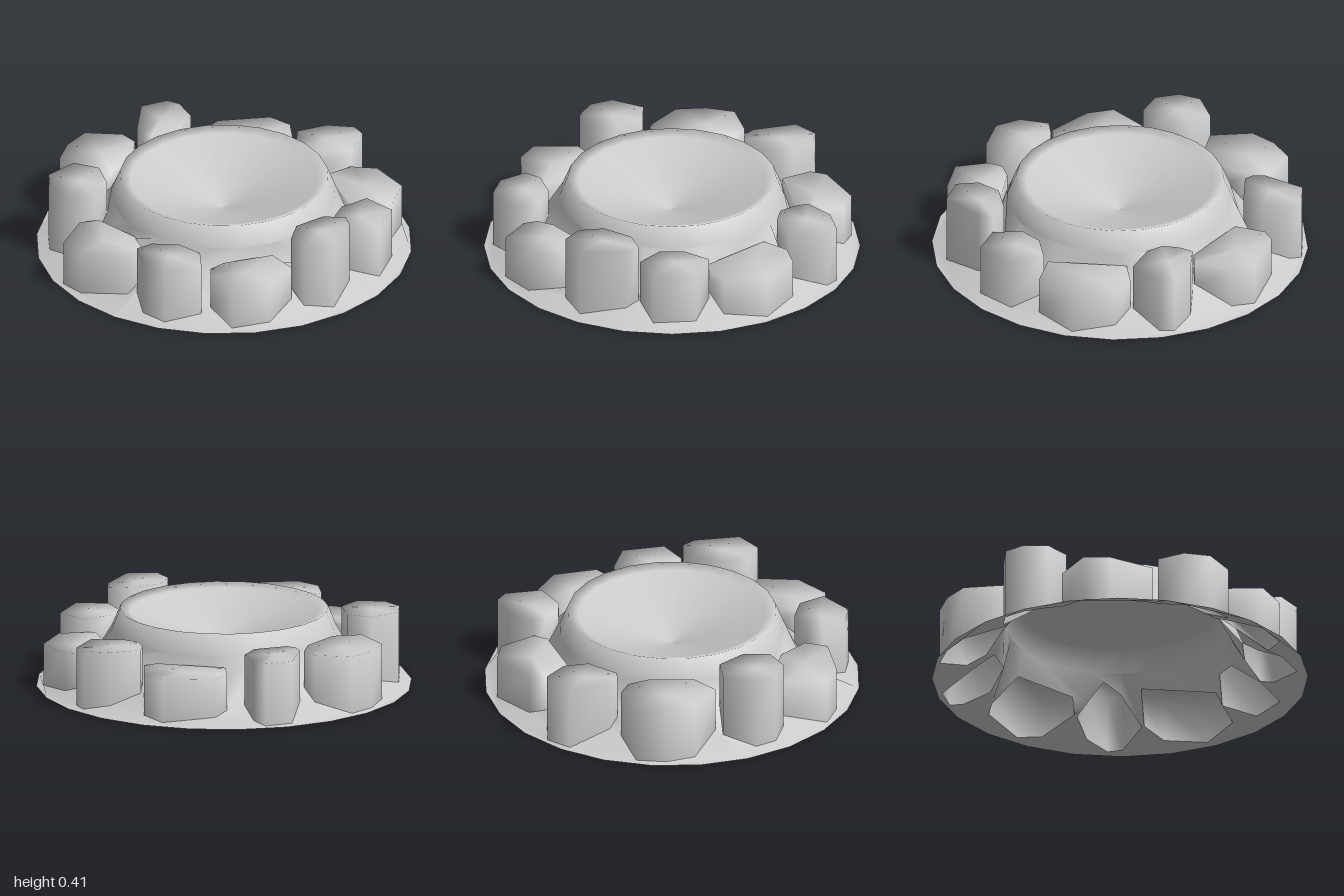
import * as THREE from 'three';

const SIDES = 24;
const material = new THREE.MeshStandardMaterial({ color: 0xcccccc, side: THREE.DoubleSide });

// Mound profile as radius, height; it falls from the basin wall to the ground
const SLOPE = [[0.6, 0.3], [0.65, 0.18], [0.75, 0.085], [1, 0]];

function moundHeight(r) {
  for (let i = 1; i < SLOPE.length; i++) {
    const [r0, y0] = SLOPE[i - 1], [r1, y1] = SLOPE[i];
    if (r <= r1) return THREE.MathUtils.mapLinear(Math.max(r, r0), r0, r1, y0, y1);
  }
  return 0;
}

// Stones as height followed by the outline in x, z pairs, starting at the back
const stones = [];
const addStone = (height, ...xz) => {
  const outline = [];
  for (let i = 0; i < xz.length; i += 2) outline.push(new THREE.Vector2(xz[i], -xz[i + 1]));
  stones.push({ height, outline });
};
addStone(0.35, -0.155, -0.77, -0.04, -0.97, 0.11, -0.97, 0.155, -0.91, 0.155, -0.76, 0.065, -0.66, -0.12, -0.66, -0.155, -0.7);
addStone(0.25, 0.21, -0.62, 0.26, -0.78, 0.34, -0.82, 0.61, -0.74, 0.67, -0.62, 0.6, -0.42, 0.52, -0.41);
addStone(0.33, 0.58, -0.34, 0.615, -0.41, 0.785, -0.405, 0.91, -0.325, 0.92, -0.245, 0.785, -0.1, 0.62, -0.17, 0.565, -0.25);
addStone(0.24, 0.63, -0.06, 0.78, -0.085, 0.9, -0.01, 0.94, 0.22, 0.79, 0.4, 0.6, 0.36);
addStone(0.31, 0.41, 0.5, 0.5, 0.41, 0.66, 0.38, 0.73, 0.55, 0.58, 0.72, 0.42, 0.66);
addStone(0.395, 0.05, 0.75, 0.13, 0.64, 0.3, 0.605, 0.41, 0.66, 0.395, 0.74, 0.225, 0.915, 0.07, 0.87);
addStone(0.25, -0.405, 0.71, -0.37, 0.64, -0.28, 0.61, -0.01, 0.64, 0.025, 0.81, -0.155, 0.925, -0.36, 0.89);
addStone(0.33, -0.73, 0.56, -0.695, 0.405, -0.6, 0.39, -0.47, 0.46, -0.41, 0.59, -0.465, 0.73, -0.66, 0.685);
addStone(0.26, -0.97, 0.07, -0.8, -0.095, -0.695, -0.075, -0.6, 0.165, -0.62, 0.35, -0.74, 0.39, -0.93, 0.21);
addStone(0.41, -0.89, -0.28, -0.845, -0.395, -0.67, -0.455, -0.57, -0.35, -0.6, -0.18, -0.715, -0.095, -0.85, -0.155);
addStone(0.32, -0.65, -0.68, -0.55, -0.8, -0.41, -0.88, -0.235, -0.78, -0.21, -0.68, -0.27, -0.57, -0.46, -0.43, -0.62, -0.455);

function part(name, geometry) {
  const mesh = new THREE.Mesh(geometry, material);
  mesh.name = name;
  return mesh;
}

// Hollow smooth-shaded prism whose walls start on the mound
function stoneGeometry({ height, outline }) {
  const n = outline.length;
  const centre = outline.reduce((sum, p) => sum.add(p), new THREE.Vector2()).divideScalar(n);
  const positions = [], index = [];
  for (const p of outline) positions.push(p.x, Math.min(moundHeight(p.length()), height - 0.01), -p.y);
  for (const p of outline) positions.push(p.x, height, -p.y);
  positions.push(centre.x, height, -centre.y);
  for (let i = 0; i < n; i++) {
    const j = (i + 1) % n;
    index.push(i, i + n, j, j, i + n, j + n, i + n, 2 * n, j + n);
  }
  const geometry = new THREE.BufferGeometry();
  geometry.setAttribute('position', new THREE.Float32BufferAttribute(positions, 3));
  geometry.setIndex(index);
  geometry.computeVertexNormals();
  return geometry;
}

const circle = (r) => Array.from({ length: SIDES }, (_, i) => {
  const a = (i / SIDES) * Math.PI * 2;
  return new THREE.Vector2(Math.cos(a) * r, Math.sin(a) * r);
});

// Faceted skirt from basin wall to ground, open under the stones
function moundGeometry() {
  const shape = new THREE.Shape(circle(1));
  shape.holes.push(new THREE.Path(circle(0.6)));
  for (const { outline } of stones) shape.holes.push(new THREE.Path(outline));
  const geometry = new THREE.ShapeGeometry(shape).rotateX(-Math.PI / 2);
  const pos = geometry.attributes.position;
  for (let i = 0; i < pos.count; i++) pos.setY(i, moundHeight(Math.hypot(pos.getX(i), pos.getZ(i))));
  geometry.computeVertexNormals();
  return geometry;
}

export function createModel() {
  const model = new THREE.Group();
  model.name = 'stoneRingBasin';
  model.add(part('mound', moundGeometry()));

  // Basin wall, soft rim and shallow conical bowl
  const profile = [[0.6, 0.3], [0.555, 0.41], [0.5, 0.39], [0, 0.215]];
  model.add(part('basin', new THREE.LatheGeometry(profile.map(([r, y]) => new THREE.Vector2(r, y)), SIDES)));

  const ring = new THREE.Group();
  ring.name = 'stoneRing';
  for (const s of stones) ring.add(part('stone', stoneGeometry(s)));
  model.add(ring);
  return model;
}
